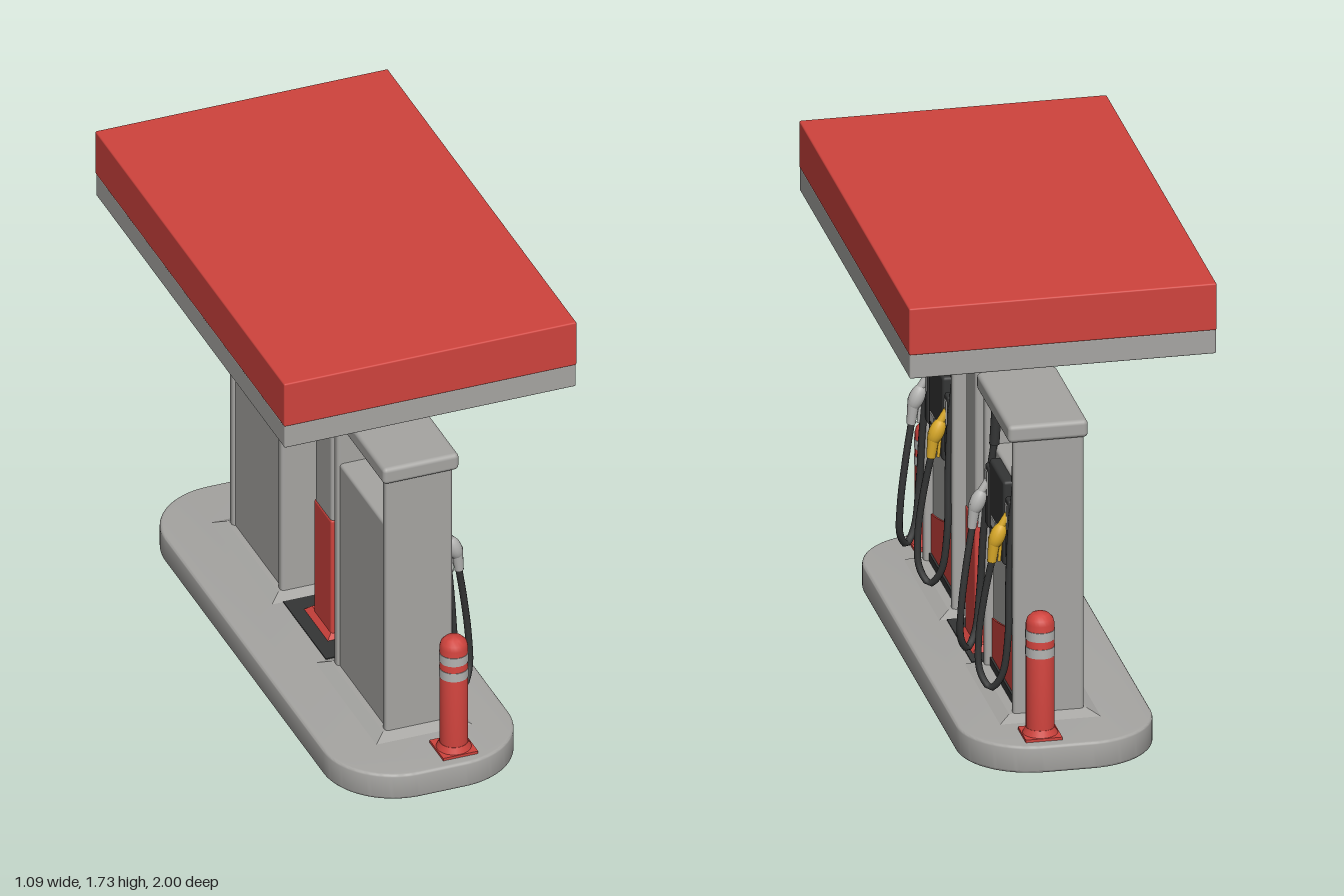
import * as THREE from 'three';
import { RoundedBoxGeometry } from 'three/addons/geometries/RoundedBoxGeometry.js';
import { toCreasedNormals } from 'three/addons/utils/BufferGeometryUtils.js';

const material = (name, color) => {
  const m = new THREE.MeshStandardMaterial({ color });
  m.name = name;
  return m;
};
const grey = material('pale grey', 0xa6a5a2);
const red = material('red', 0xcf433d);
const dark = material('charcoal', 0x343535);
const yellow = material('yellow', 0xd9a928);
const silver = material('silver', 0xb4b4b2);
const brown = material('brown', 0x7a4a2c);

function add(parent, name, geometry, mat, x = 0, y = 0, z = 0) {
  const mesh = new THREE.Mesh(geometry, mat);
  mesh.name = name;
  mesh.position.set(x, y, z);
  parent.add(mesh);
  return mesh;
}

// Box given by its limits on each axis, with optional rounded edges
function block(parent, name, mat, [x0, x1], [y0, y1], [z0, z1], r = 0) {
  const size = [x1 - x0, y1 - y0, z1 - z0];
  const geo = r ? new RoundedBoxGeometry(...size, 3, r) : new THREE.BoxGeometry(...size);
  return add(parent, name, geo, mat, (x0 + x1) / 2, (y0 + y1) / 2, (z0 + z1) / 2);
}

// Low sloped foot: a box whose top is drawn in by an inset
function skirt(parent, name, mat, [x0, x1], [y0, y1], [z0, z1], inset) {
  const w = x1 - x0, d = z1 - z0;
  const geo = new THREE.BoxGeometry(w, y1 - y0, d);
  const p = geo.attributes.position;
  for (let i = 0; i < p.count; i++) {
    if (p.getY(i) > 0) {
      p.setX(i, p.getX(i) * (1 - 2 * inset / w));
      p.setZ(i, p.getZ(i) * (1 - 2 * inset / d));
    }
  }
  geo.computeVertexNormals();
  return add(parent, name, geo, mat, (x0 + x1) / 2, (y0 + y1) / 2, (z0 + z1) / 2);
}

// Cylinder running between two points
function rod(parent, name, mat, a, b, r0, r1 = r0) {
  const from = new THREE.Vector3(...a), to = new THREE.Vector3(...b);
  const dir = to.clone().sub(from);
  const mesh = add(parent, name, new THREE.CylinderGeometry(r1, r0, dir.length(), 14), mat);
  mesh.position.copy(from).add(to).multiplyScalar(0.5);
  mesh.quaternion.setFromUnitVectors(new THREE.Vector3(0, 1, 0), dir.normalize());
  return mesh;
}

function island(parent) {
  const w = 0.335, d = 0.99, r = 0.25;
  const s = new THREE.Shape();
  s.absarc(w - r, d - r, r, 0, Math.PI / 2);
  s.absarc(r - w, d - r, r, Math.PI / 2, Math.PI);
  s.absarc(r - w, r - d, r, Math.PI, Math.PI * 1.5);
  s.absarc(w - r, r - d, r, Math.PI * 1.5, Math.PI * 2);
  const geo = new THREE.ExtrudeGeometry(s, {
    depth: 0.08, bevelSize: 0.01, bevelThickness: 0.01, bevelSegments: 3, curveSegments: 16,
  });
  geo.rotateX(-Math.PI / 2);
  add(parent, 'island', toCreasedNormals(geo, 0.6), grey, 0, 0.01, 0);
}

function canopy(parent) {
  const g = new THREE.Group();
  g.name = 'canopy';
  parent.add(g);
  block(g, 'canopyFascia', red, [-0.548, 0.543], [1.555, 1.73], [-0.885, 0.885], 0.006);
  block(g, 'canopyTrim', grey, [-0.546, 0.541], [1.467, 1.558], [-0.883, 0.883], 0.006);
  const stain = new THREE.CircleGeometry(1, 28).rotateX(Math.PI / 2).scale(0.19, 1, 0.25);
  add(g, 'ceilingPatch', stain, brown, 0.05, 1.465, 0);
  for (const z of [-0.48, 0.42]) {
    block(g, 'ceilingLight', grey, [0.03, 0.2], [1.443, 1.47], [z - 0.09, z + 0.09], 0.006);
    block(g, 'lightLens', dark, [0.053, 0.177], [1.44, 1.448], [z - 0.065, z + 0.065]);
  }
}

function column(parent) {
  const g = new THREE.Group();
  g.name = 'column';
  parent.add(g);
  block(g, 'columnUpper', grey, [-0.05, 0.13], [0.57, 1.47], [-0.077, 0.077], 0.012);
  block(g, 'columnLower', red, [-0.053, 0.133], [0.1, 0.58], [-0.08, 0.08], 0.008);
  block(g, 'columnFootPlate', dark, [-0.12, 0.17], [0.098, 0.104], [-0.2, 0.2]);
  skirt(g, 'columnFoot', red, [-0.075, 0.155], [0.1, 0.125], [-0.13, 0.1], 0.025);
  // Gusset carrying the canopy behind the column
  const s = new THREE.Shape([[-0.04, 1.38], [-0.04, 1.47], [-0.18, 1.47]].map(p => new THREE.Vector2(...p)));
  add(g, 'columnGusset', new THREE.ExtrudeGeometry(s, { depth: 0.18, bevelEnabled: false }), grey, 0, 0, -0.07);
}

function bollard(parent, z) {
  const g = new THREE.Group();
  g.name = 'bollard';
  g.position.set(0.08, 0, z);
  parent.add(g);
  const profile = [[0.05, 0.1], [0.05, 0.52], [0.045, 0.538], [0.03, 0.553], [0, 0.56]];
  const geo = new THREE.LatheGeometry(profile.map(p => new THREE.Vector2(...p)), 24);
  add(g, 'bollardPost', toCreasedNormals(geo, 0.8), red);
  block(g, 'bollardPlate', red, [-0.065, 0.065], [0.098, 0.11], [-0.065, 0.065]);
  add(g, 'bollardCollar', new THREE.CylinderGeometry(0.051, 0.063, 0.025, 24), red, 0, 0.12, 0);
  for (const y of [0.418, 0.48]) {
    add(g, 'bollardStripe', new THREE.CylinderGeometry(0.052, 0.052, 0.034, 24), silver, 0, y, 0);
  }
}

// Hose, holster and nozzle on one side of the dispenser (s = +1 or -1)
function hoseSet(parent, s, nozzleMat) {
  const g = new THREE.Group();
  g.name = 'hoseSet';
  parent.add(g);
  const path = [
    [0.105, 1.14, 0.172], [0.115, 0.97, 0.175], [0.135, 0.8, 0.19], [0.148, 0.6, 0.208],
    [0.155, 0.4, 0.226], [0.175, 0.25, 0.212], [0.208, 0.2, 0.185], [0.238, 0.25, 0.155],
    [0.24, 0.37, 0.14], [0.222, 0.52, 0.145], [0.196, 0.67, 0.158],
  ].map(([x, y, z]) => new THREE.Vector3(x, y, z * s));
  add(g, 'hose', new THREE.TubeGeometry(new THREE.CatmullRomCurve3(path), 70, 0.0125, 10), dark);
  rod(g, 'hoseCoupling', dark, [0.105, 1.14, 0.172 * s], [0.115, 0.96, 0.175 * s], 0.018);
  const z = 0.16 * s;
  block(g, 'holster', dark, [0.1, 0.145], [0.66, 0.89], [z - 0.026, z + 0.026], 0.008);
  block(g, 'holsterFace', silver, [0.143, 0.149], [0.78, 0.87], [z - 0.016, z + 0.016]);
  rod(g, 'nozzleHandle', nozzleMat, [0.198, 0.66, z], [0.188, 0.75, z], 0.016, 0.022);
  const body = add(g, 'nozzleBody', new THREE.SphereGeometry(1, 16, 12), nozzleMat, 0.178, 0.755, z);
  body.scale.set(0.028, 0.052, 0.027);
  body.rotation.z = 0.4;
  rod(g, 'nozzleSpout', nozzleMat, [0.175, 0.77, z], [0.142, 0.835, z], 0.017, 0.011);
  rod(g, 'nozzleLever', nozzleMat, [0.165, 0.74, z], [0.172, 0.66, z], 0.006);
}

function dispenser(parent, z) {
  const g = new THREE.Group();
  g.name = 'dispenser';
  g.position.z = z;
  parent.add(g);
  skirt(g, 'dispenserFoot', grey, [-0.165, 0.2], [0.098, 0.12], [-0.29, 0.29], 0.045);
  // Cabinet between two end panels, open under the cap
  block(g, 'cabinet', grey, [-0.1, 0.11], [0.1, 0.945], [-0.22, 0.22], 0.012);
  for (const s of [-1, 1]) {
    const c = 0.227 * s;
    block(g, 'endPanel', grey, [-0.11, 0.14], [0.1, 1.15], [c - 0.019, c + 0.019], 0.012);
  }
  block(g, 'cap', grey, [-0.123, 0.16], [1.135, 1.2], [-0.26, 0.26], 0.016);
  // Kick strip and slanted red panel on the front
  block(g, 'kickStrip', dark, [0.108, 0.124], [0.11, 0.15], [-0.205, 0.205]);
  const wave = new THREE.Shape();
  wave.moveTo(-0.207, 0.15);
  wave.lineTo(0.207, 0.15);
  wave.lineTo(0.207, 0.4);
  wave.bezierCurveTo(0.1, 0.385, -0.06, 0.32, -0.207, 0.295);
  const panel = new THREE.ExtrudeGeometry(wave, { depth: 0.008, bevelEnabled: false });
  panel.rotateY(Math.PI / 2);
  add(g, 'redPanel', panel, red, 0.108, 0, 0);
  // Display with card reader and keypad
  block(g, 'display', dark, [0.1, 0.147], [0.62, 0.935], [-0.115, 0.115], 0.012);
  block(g, 'cardReader', silver, [0.144, 0.151], [0.67, 0.735], [0.01, 0.075]);
  block(g, 'keypad', silver, [0.144, 0.151], [0.655, 0.74], [-0.085, -0.012]);
  block(g, 'keypadInset', dark, [0.15, 0.153], [0.695, 0.728], [-0.07, -0.03]);
  block(g, 'cardSlot', dark, [0.15, 0.153], [0.695, 0.703], [0.02, 0.065]);
  hoseSet(g, 1, silver);
  hoseSet(g, -1, yellow);
}

export function createModel() {
  const model = new THREE.Group();
  model.name = 'fuelStation';
  island(model);
  column(model);
  canopy(model);
  for (const z of [0.49, -0.487]) dispenser(model, z);
  for (const z of [0.895, -0.89]) bollard(model, z);
  return model;
}
